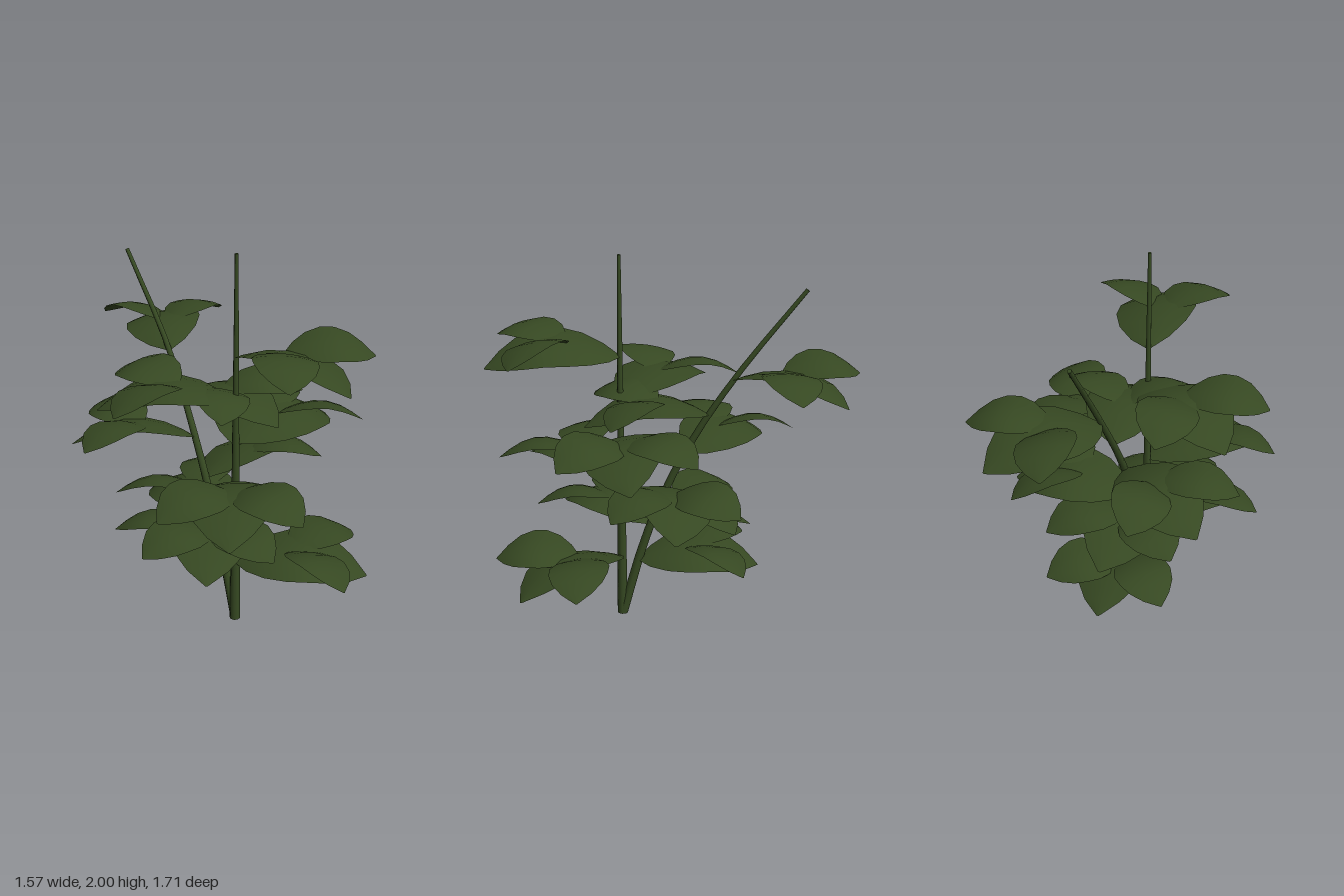
import * as THREE from 'three';

const V = (x, y, z) => new THREE.Vector3(x, y, z);
const GOLDEN = 137.5 * Math.PI / 180;

// Leaf sections: position along leaf, half width, height of the midrib
const SECTIONS = [
  [0, 0.012, 0], [0.1, 0.1, 0.035], [0.25, 0.175, 0.075], [0.42, 0.212, 0.1],
  [0.58, 0.208, 0.1], [0.74, 0.175, 0.07], [0.88, 0.105, 0.02], [1, 0.006, -0.035],
];

// Leaf blade pointing to -z, arched along and slightly across
function leafGeometry(length) {
  const cols = 4;
  const g = new THREE.PlaneGeometry(1, 1, cols, SECTIONS.length - 1);
  const p = g.attributes.position;
  for (let i = 0; i < p.count; i++) {
    const row = SECTIONS.length - 1 - Math.floor(i / (cols + 1));
    const u = p.getX(i) * 2;
    const [t, w, h] = SECTIONS[row];
    p.setXYZ(i, u * w, h - 0.03 * u * u * (w / 0.21), -t * length);
  }
  g.computeVertexNormals();
  return g;
}

// Tapered stem following a curve, with a flat cap at each end
function makeStem(curve, r0, r1, material, name) {
  const rings = 12, sides = 8;
  const group = new THREE.Group();
  group.name = name;
  const g = new THREE.TubeGeometry(curve, rings, 1, sides, false);
  const p = g.attributes.position, v = V(0, 0, 0);
  for (let i = 0; i < p.count; i++) {
    const t = Math.floor(i / (sides + 1)) / rings;
    const c = curve.getPointAt(t);
    v.fromBufferAttribute(p, i).sub(c).multiplyScalar(r0 + (r1 - r0) * t).add(c);
    p.setXYZ(i, v.x, v.y, v.z);
  }
  const tube = new THREE.Mesh(g, material);
  tube.name = name + 'Tube';
  group.add(tube);
  for (const [t, r, dir] of [[0, r0, -1], [1, r1, 1]]) {
    const cap = new THREE.Mesh(new THREE.CircleGeometry(r, sides), material);
    cap.name = name + 'Cap';
    cap.position.copy(curve.getPointAt(t));
    cap.quaternion.setFromUnitVectors(V(0, 0, 1), curve.getTangentAt(t).multiplyScalar(dir));
    group.add(cap);
  }
  return group;
}

// Point on a rising curve at a given height
function pointAtHeight(curve, y) {
  let lo = 0, hi = 1;
  for (let i = 0; i < 30; i++) {
    const mid = (lo + hi) / 2;
    if (curve.getPoint(mid).y < y) lo = mid; else hi = mid;
  }
  return curve.getPoint(lo);
}

export function createModel() {
  const model = new THREE.Group();
  model.name = 'leafyPlant';
  const leafGreen = new THREE.MeshStandardMaterial({ color: 0x364822, side: THREE.DoubleSide });
  leafGreen.name = 'leafGreen';
  const stemGreen = new THREE.MeshStandardMaterial({ color: 0x364922 });
  stemGreen.name = 'stemGreen';

  const blade = leafGeometry(0.68);

  // One large tilted leaflet with two smaller, raised ones at its sides
  function makeCluster(tilt) {
    const cluster = new THREE.Group();
    cluster.name = 'leafCluster';
    const middle = new THREE.Mesh(blade, leafGreen);
    middle.name = 'middleLeaflet';
    middle.rotation.z = tilt;
    cluster.add(middle);
    for (const s of [-1, 1]) {
      const side = new THREE.Mesh(blade, leafGreen);
      side.name = s < 0 ? 'leftLeaflet' : 'rightLeaflet';
      side.scale.set(0.72, 0.64, 0.64);
      side.position.set(s * 0.02, 0.085, -0.28);
      side.rotation.set(-0.02, -s * 0.8, s * 0.17 - tilt * 0.4, 'YXZ');
      cluster.add(side);
    }
    return cluster;
  }

  // Stems, and leaf clusters spiralling down each by the golden angle;
  // each cluster has its height and the sideways tilt of its middle leaflet
  const stems = [
    {
      name: 'uprightStem', radii: [0.028, 0.009], angle: 31, size: 1.01,
      curve: new THREE.LineCurve3(V(0.1, 0.005, 0.17), V(0.1, 2, 0.17)),
      clusters: [[1.48, 0.2], [1.25, 0], [1.03, -0.2], [0.81, -0.08], [0.58, 0.15], [0.35, -0.2]],
    },
    {
      name: 'leaningStem', radii: [0.026, 0.011], angle: 254, size: 0.95,
      curve: new THREE.CatmullRomCurve3([
        V(0.1, 0.01, 0.165), V(-0.01, 0.5, 0.08), V(-0.15, 0.95, -0.05),
        V(-0.33, 1.38, -0.24), V(-0.59, 1.83, -0.465),
      ]),
      clusters: [[1.36, 0.17], [1.17, 0], [0.95, -0.2], [0.75, 0.2], [0.54, 0], [0.33, -0.2]],
    },
  ];
  for (const { name, radii, angle, size, curve, clusters } of stems) {
    model.add(makeStem(curve, radii[0], radii[1], stemGreen, name));
    clusters.forEach(([y, tilt], i) => {
      const cluster = makeCluster(tilt);
      cluster.position.copy(pointAtHeight(curve, y));
      cluster.scale.setScalar(size);
      cluster.rotation.y = -(angle * Math.PI / 180 + i * GOLDEN) - Math.PI / 2;
      model.add(cluster);
    });
  }
  return model;
}
